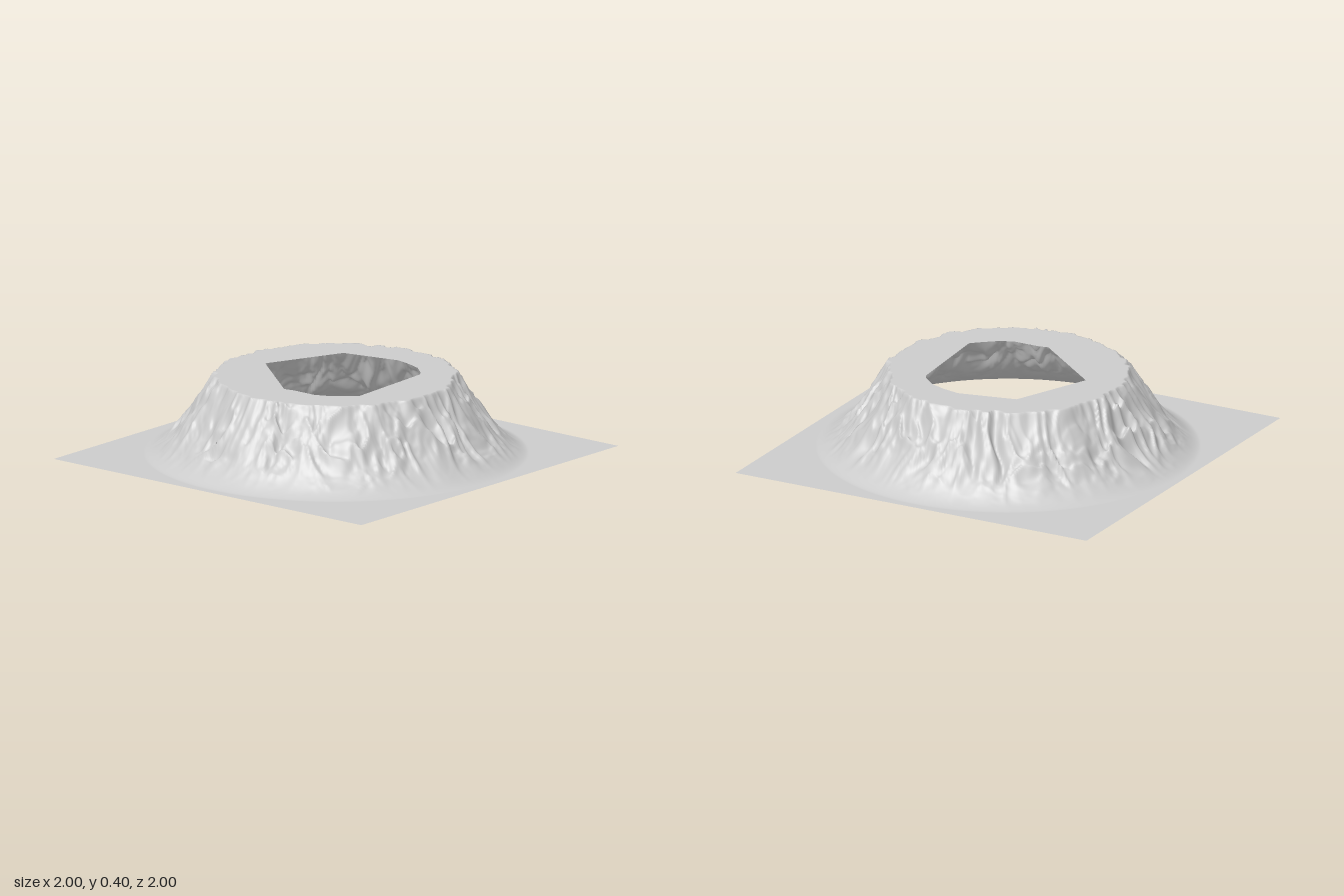
import * as THREE from 'three';

const TOP = 0.402;      // height of the flat cut through the summit
const FOOT = 0.96;      // radius where the slope meets the ground
const SEGMENTS = 480, RINGS = 96;

// Outline of the opening in the summit, as x, z pairs
const OPENING = [
  [0.06, -0.41], [0.15, -0.39], [0.23, -0.36], [0.3, -0.3], [0.32, -0.27], [0.355, 0.24],
  [0.3, 0.29], [0.24, 0.34], [0.17, 0.37], [0.03, 0.37], [-0.02, 0.38], [-0.41, 0.06], [-0.24, -0.345],
];

// Seeded value noise, -1 to 1
function hash(i, j) {
  let n = Math.imul(i, 374761393) + Math.imul(j, 668265263);
  n = Math.imul(n ^ (n >>> 13), 1274126177);
  return ((n ^ (n >>> 16)) >>> 0) / 2147483648 - 1;
}
function noise(x, y) {
  const i = Math.floor(x), j = Math.floor(y);
  const u = THREE.MathUtils.smootherstep(x - i, 0, 1), v = THREE.MathUtils.smootherstep(y - j, 0, 1);
  const a = THREE.MathUtils.lerp(hash(i, j), hash(i + 1, j), u);
  const b = THREE.MathUtils.lerp(hash(i, j + 1), hash(i + 1, j + 1), u);
  return THREE.MathUtils.lerp(a, b, v);
}
const ridge = (x, y) => 1 - 2 * Math.abs(noise(x, y));

// Distance from the centre to the opening's edge along a direction
function openingRadius(c, s) {
  for (let k = 0; k < OPENING.length; k++) {
    const [ax, az] = OPENING[k], [bx, bz] = OPENING[(k + 1) % OPENING.length];
    const ex = bx - ax, ez = bz - az, d = c * ez - s * ex;
    const t = (ax * ez - az * ex) / d, u = (ax * s - az * c) / d;
    if (t > 0 && u >= -1e-6 && u <= 1 + 1e-6) return t;
  }
  return 0.38;
}

// Concave slope with warped ridges and gullies, cut flat at the top
function height(x, z) {
  const r = Math.hypot(x, z);
  if (r >= FOOT) return 0;
  const base = 0.405 * Math.pow((FOOT - r) / 0.36, 1.55);
  const wx = x + 0.05 * noise(x * 7 + 3, z * 7), wz = z + 0.05 * noise(x * 7, z * 7 + 9);
  // stretched along the fall line, so gullies run downhill
  const c = wx / r, s = wz / r;
  const gully = ridge(c * 9 + wx * 3, s * 9 + wz * 3 + 20);
  const rough = 0.026 * gully + 0.02 * ridge(wx * 13 + 5, wz * 13) +
    0.01 * noise(wx * 27, wz * 27 + 7) + 0.005 * noise(wx * 50, wz * 50);
  const fade = THREE.MathUtils.smoothstep(base, 0, 0.2);
  return Math.min(TOP, Math.max(0, base + (rough - 0.012) * fade));
}

export function createModel() {
  const group = new THREE.Group();
  const positions = [], indices = [];

  // Rings from the opening, over the rim and slope, out to the square border
  for (let j = 0; j <= RINGS; j++) {
    for (let i = 0; i < SEGMENTS; i++) {
      const a = (i / SEGMENTS) * Math.PI * 2, c = Math.cos(a), s = Math.sin(a);
      let r = 0.5 + (FOOT + 0.01 - 0.5) * (j - 1) / (RINGS - 2);
      if (j === 0) r = openingRadius(c, s);
      if (j === RINGS) r = 1 / Math.max(Math.abs(c), Math.abs(s));
      const x = r * c, z = r * s;
      positions.push(x, j === 0 ? TOP : height(x, z), z);
      if (j < RINGS) {
        const p = j * SEGMENTS + i, q = j * SEGMENTS + (i + 1) % SEGMENTS;
        indices.push(p, q, p + SEGMENTS, q, q + SEGMENTS, p + SEGMENTS);
      }
    }
  }
  const geometry = new THREE.BufferGeometry();
  geometry.setAttribute('position', new THREE.Float32BufferAttribute(positions, 3));
  geometry.setIndex(indices);
  geometry.computeVertexNormals();

  // Open shell, seen from above and below
  const material = new THREE.MeshStandardMaterial({ color: 0xcccccc, side: THREE.DoubleSide });
  const terrain = new THREE.Mesh(geometry, material);
  terrain.name = 'craterTerrain';
  group.add(terrain);
  return group;
}
